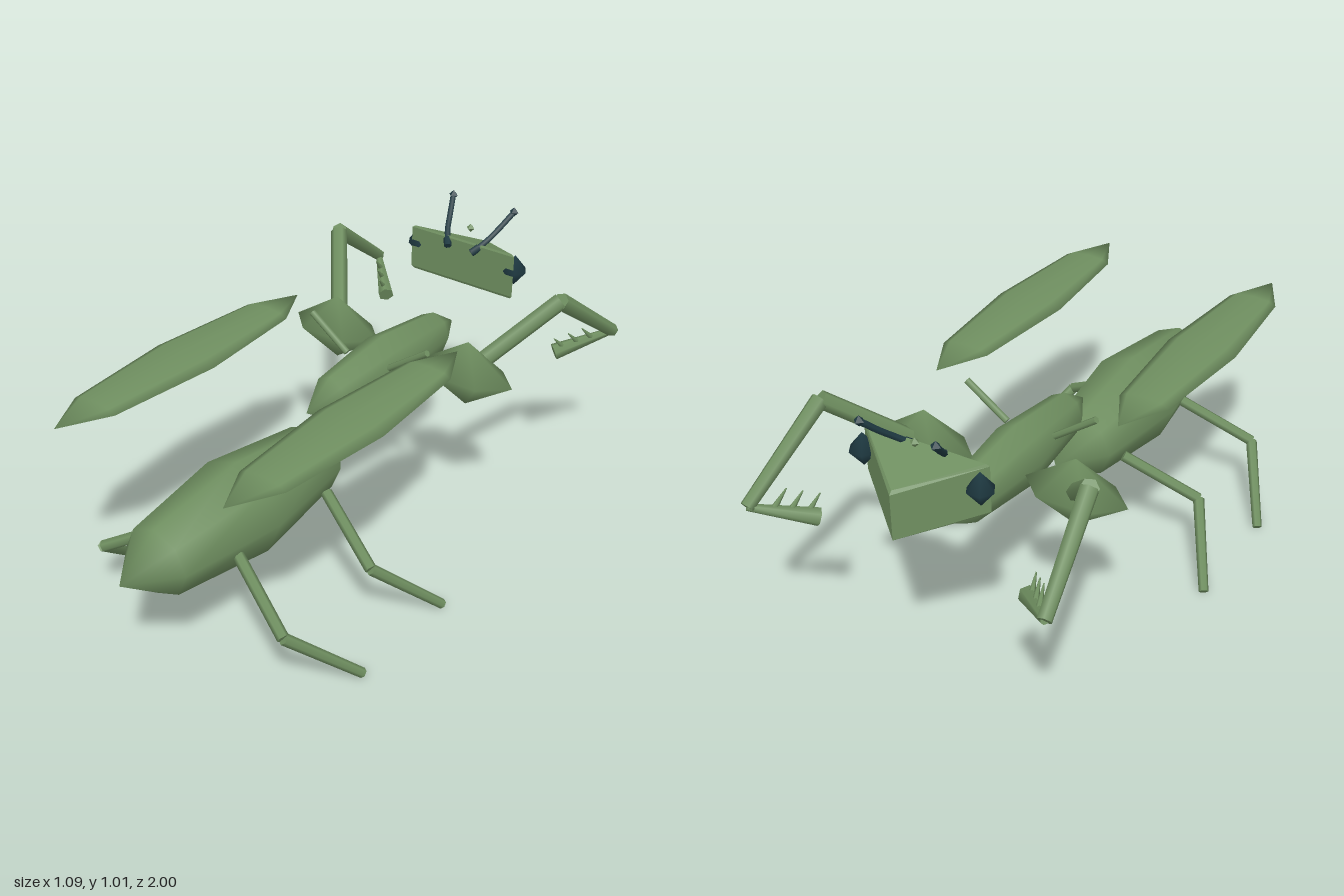
import * as THREE from 'three';

const green = new THREE.MeshStandardMaterial({ color: 0x6f8f60 });
green.name = 'leafGreen';
const dark = new THREE.MeshStandardMaterial({ color: 0x1f3a42 });
dark.name = 'darkTeal';

export function createModel() {
  const model = new THREE.Group();
  model.name = 'insect';
  const v = (p) => new THREE.Vector3(...p);

  function add(name, geometry, material = green, parent = model) {
    const mesh = new THREE.Mesh(geometry, material);
    mesh.name = name;
    parent.add(mesh);
    return mesh;
  }

  // Long body pod with its poles along z
  function pod(name, center, radii) {
    const g = new THREE.SphereGeometry(1, 8, 4).rotateX(Math.PI / 2);
    g.scale(...radii);
    add(name, g).position.set(...center);
  }

  // Six-sided double pyramid with its poles along y
  function bead(name, center, radii, material = green) {
    const g = new THREE.SphereGeometry(1, 6, 2).scale(...radii);
    add(name, g, material).position.set(...center);
  }

  // Straight tapering rod between two points
  function rod(name, from, to, r0, r1 = r0, material = green) {
    const a = v(from), b = v(to), d = b.clone().sub(a);
    const mesh = add(name, new THREE.CylinderGeometry(r1, r0, d.length(), 6), material);
    mesh.position.copy(a).add(b).multiplyScalar(0.5);
    mesh.quaternion.setFromUnitVectors(new THREE.Vector3(0, 1, 0), d.normalize());
  }

  // Body
  pod('abdomen', [0, 0.4125, 0.47], [0.175, 0.167, 0.53]);
  pod('thorax', [0, 0.593, -0.305], [0.098, 0.115, 0.425]);

  // Head: bevelled triangular prism, sheared so it slopes down to the nose
  const bevel = 0.008;
  const outline = new THREE.Shape([
    new THREE.Vector2(-0.208, 0.778),
    new THREE.Vector2(0.208, 0.778),
    new THREE.Vector2(0, 0.945),
  ]);
  const headGeo = new THREE.ExtrudeGeometry(outline, {
    depth: 0.17 - 2 * bevel, bevelEnabled: true,
    bevelSize: bevel, bevelThickness: bevel, bevelSegments: 1,
  });
  headGeo.rotateX(-Math.PI / 2).translate(0, 0.73 + bevel, 0);
  const pos = headGeo.attributes.position;
  for (let i = 0; i < pos.count; i++) {
    pos.setY(i, pos.getY(i) + 0.38 * (pos.getZ(i) + 0.77));
  }
  headGeo.computeVertexNormals();
  add('head', headGeo);
  add('simpleEye', new THREE.OctahedronGeometry(0.016)).position.set(0, 0.927, -0.825);

  for (const s of [-1, 1]) {
    const side = s > 0 ? 'right' : 'left'; // faces -z, so +x is its right
    const m = ([x, y, z]) => [s * x, y, z];

    // Eyes and antennae
    bead(side + 'Eye', m([0.205, 0.828, -0.805]), [0.046, 0.057, 0.045], dark);
    const path = new THREE.CatmullRomCurve3([
      [0.054, 0.87, -0.762], [0.085, 0.908, -0.805],
      [0.104, 0.942, -0.845], [0.128, 0.992, -0.897],
    ].map((p) => v(m(p))));
    add(side + 'Antenna', new THREE.TubeGeometry(path, 8, 0.011, 6), dark);
    rod(side + 'AntennaBase', m([0.05, 0.867, -0.757]), m([0.068, 0.885, -0.78]), 0.014, 0.014, dark);
    add(side + 'AntennaTip', new THREE.OctahedronGeometry(0.018), dark)
      .position.set(...m([0.13, 0.997, -0.902]));

    // Wings and their hinges
    pod(side + 'Wing', m([0.337, 0.78, 0.325]), [0.123, 0.026, 0.575]);
    rod(side + 'WingHinge', m([0.09, 0.648, -0.215]), m([0.242, 0.755, -0.215]), 0.012);

    // Grasping front legs
    const elbow = [0.475, 0.842, -0.665], wrist = [0.522, 0.615, -0.985];
    const claw = [0.375, 0.542, -0.835];
    bead(side + 'FrontHip', m([0.28, 0.61, -0.405]), [0.182, 0.12, 0.1]);
    rod(side + 'FrontUpperLeg', m([0.29, 0.625, -0.43]), m(elbow), 0.03);
    rod(side + 'FrontLowerLeg', m(elbow), m(wrist), 0.03, 0.023);
    rod(side + 'Claw', m(wrist), m(claw), 0.012, 0.03);
    for (const t of [0.35, 0.58, 0.82]) {
      const base = v(wrist).lerp(v(claw), t);
      const tip = base.clone().add(v([-0.015, 0.055, 0.055]));
      rod(side + 'ClawSpine', m(base.toArray()), m(tip.toArray()), 0.012, 0.002);
    }

    // Walking legs
    for (const [name, dz] of [['MiddleLeg', 0], ['HindLeg', 0.44]]) {
      const knee = m([0.383, 0.222, 0.27 + dz]);
      rod(side + name + 'Upper', m([0.13, 0.367, 0.18 + dz]), knee, 0.02);
      rod(side + name + 'Lower', knee, m([0.521, 0.014, 0.052 + dz]), 0.02, 0.017);
    }
  }
  return model;
}
